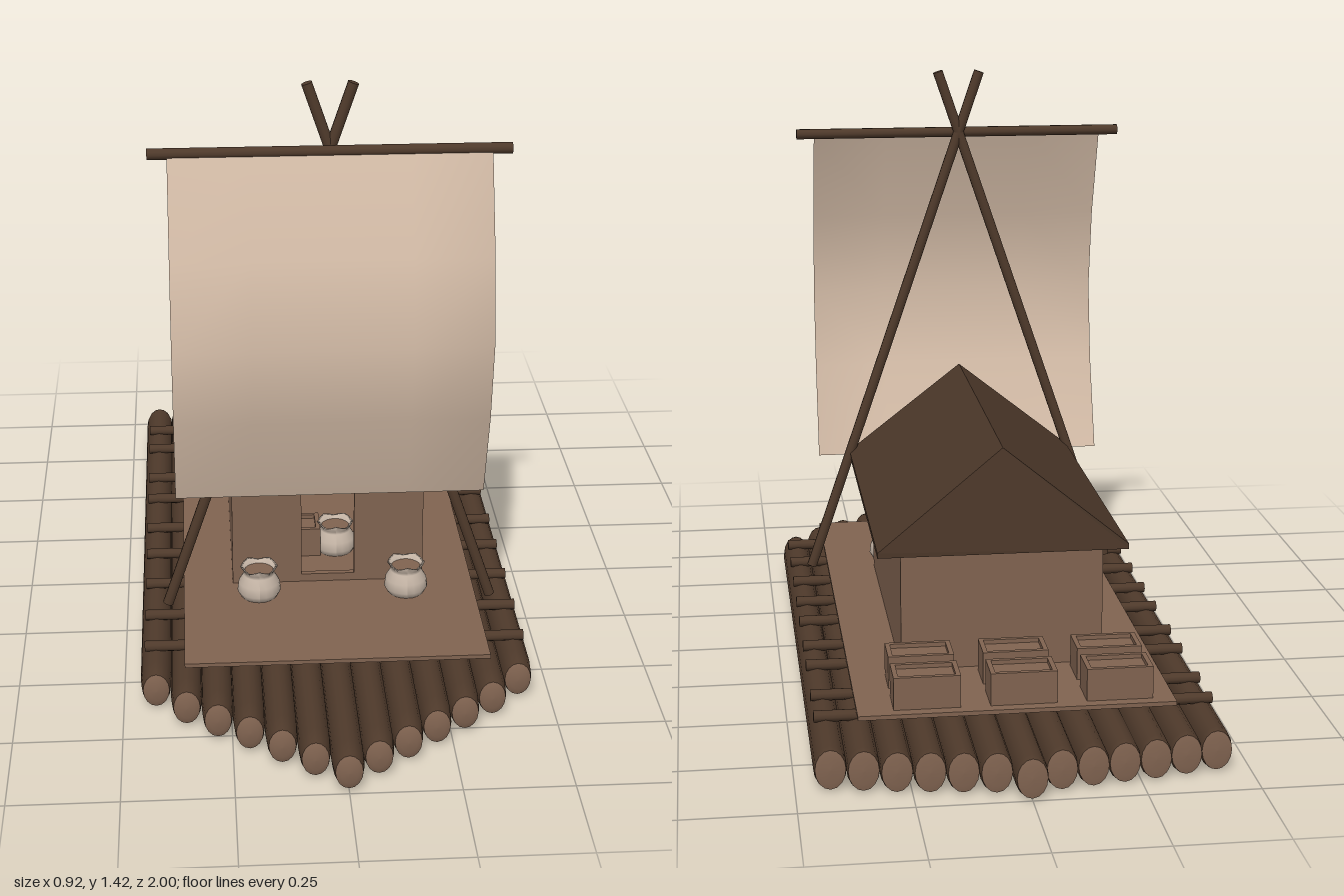
import * as THREE from 'three';

const mat = (name, color, side = THREE.FrontSide) => {
  const m = new THREE.MeshStandardMaterial({ color, side });
  m.name = name;
  return m;
};

export function createModel() {
  const raft = new THREE.Group();
  raft.name = 'sailingRaft';
  const darkWood = mat('darkWood', 0x4f3a2b);
  const thatch = mat('roofBrown', 0x4b3729);
  const plank = mat('plankBrown', 0x806350);
  const canvas = mat('sailCanvas', 0xd6bea9, THREE.DoubleSide);
  const sackCloth = mat('sackCloth', 0xc4b4a5, THREE.DoubleSide);

  const add = (name, geo, material, parent = raft) => {
    const m = new THREE.Mesh(geo, material);
    m.name = name;
    parent.add(m);
    return m;
  };
  const box = (name, w, h, d, x, y, z, material, parent) => {
    const m = add(name, new THREE.BoxGeometry(w, h, d), material, parent);
    m.position.set(x, y, z);
    return m;
  };
  // round pole between two points
  const pole = (name, a, b, r) => {
    const from = new THREE.Vector3(...a), to = new THREE.Vector3(...b);
    const dir = to.clone().sub(from);
    const m = add(name, new THREE.CylinderGeometry(r, r, dir.length(), 10), darkWood);
    m.position.copy(from).add(to).multiplyScalar(0.5);
    m.quaternion.setFromUnitVectors(new THREE.Vector3(0, 1, 0), dir.normalize());
    return m;
  };
  const lathe = (pts, n) => new THREE.LatheGeometry(pts.map(p => new THREE.Vector2(...p)), n);

  // hull logs: pointed bow, nearly straight stern, oval section
  const bow = [0.998, 0.942, 0.885, 0.825, 0.77, 0.71, 0.63];
  const stern = [-1, -0.96, -0.95, -0.94, -0.93, -0.915, -0.9];
  for (let i = -6; i <= 6; i++) {
    const f = bow[Math.abs(i)], b = stern[Math.abs(i)];
    const log = new THREE.Group();
    log.name = 'hullLog';
    const body = lathe([[0.92, b + 0.004], [1, b + 0.02], [1, f - 0.06], [0.93, f - 0.025], [0.84, f - 0.008]], 16);
    const bowCap = lathe([[0.84, f - 0.008], [0.5, f - 0.001], [0, f]], 16);
    const sternCap = lathe([[0, b], [0.6, b + 0.001], [0.92, b + 0.004]], 16);
    for (const g of [body, bowCap, sternCap]) {
      g.rotateX(Math.PI / 2);
      g.scale(0.0365, 0.049, 1);
    }
    add('logBark', body, darkWood, log);
    add('logBowEnd', bowCap, plank, log);
    add('logSternEnd', sternCap, plank, log);
    log.position.set(i * 0.0706, 0.05, 0);
    raft.add(log);
  }

  // cross beams and deck
  for (const z of [-0.725, -0.6, -0.41, -0.28, -0.106, 0.04, 0.2, 0.36, 0.51])
    pole('crossBeam', [-0.45, 0.104, z], [0.45, 0.104, z], 0.013);
  box('deck', 0.712, 0.01, 1.425, 0, 0.12, -0.0775, plank);

  // cabin: hollow walls, doorway in the front one
  const cabin = new THREE.Group();
  cabin.name = 'cabin';
  raft.add(cabin);
  const t = 0.015, h = 0.286, cy = 0.124 + h / 2;
  for (const s of [-1, 1]) box('sideWall', t, h, 0.77, s * (0.235 - t / 2), cy, -0.135, plank, cabin);
  box('rearWall', 0.44, h, t, 0, cy, -0.52 + t / 2, plank, cabin);
  const wall = new THREE.Shape();
  wall.moveTo(-0.22, 0.124).lineTo(0.22, 0.124).lineTo(0.22, 0.41).lineTo(-0.22, 0.41).closePath();
  const door = new THREE.Path();
  door.moveTo(-0.065, 0.145).lineTo(-0.065, 0.365).quadraticCurveTo(-0.065, 0.375, -0.055, 0.375);
  door.lineTo(0.055, 0.375).quadraticCurveTo(0.065, 0.375, 0.065, 0.365).lineTo(0.065, 0.145).closePath();
  wall.holes.push(door);
  add('frontWall', new THREE.ExtrudeGeometry(wall, { depth: t, bevelEnabled: false }), plank, cabin)
    .position.z = 0.25 - t;

  // gable roof, ends leaning inwards towards the ridge
  const gable = new THREE.Shape();
  gable.moveTo(-0.29, 0.406).lineTo(0.29, 0.406).lineTo(0.29, 0.418).lineTo(0, 0.65).lineTo(-0.29, 0.418).closePath();
  const roof = new THREE.ExtrudeGeometry(gable, { depth: 0.88, bevelEnabled: false });
  roof.translate(0, 0, -0.55);
  const rp = roof.attributes.position;
  for (let i = 0; i < rp.count; i++)
    if (rp.getY(i) > 0.6) rp.setZ(i, rp.getZ(i) < 0 ? -0.525 : 0.31);
  roof.computeVertexNormals();
  add('roof', roof, thatch, cabin);

  // crossed masts and yard
  for (const s of [-1, 1])
    pole('mastPole', [s * 0.395, 0.11, 0.312], [-s * 0.053, 1.416, 0.312], 0.013);
  pole('yard', [-0.415, 1.26, 0.325], [0.415, 1.26, 0.325], 0.013);

  // wind-filled sail
  const sailProfile = [[0.335, 1.255], [0.42, 1.03], [0.457, 0.825], [0.42, 0.63], [0.338, 0.405]];
  const sail = new THREE.PlaneGeometry(0.74, 1, 4, sailProfile.length - 1);
  const sp = sail.attributes.position;
  for (let i = 0; i < sp.count; i++) {
    const [z, y] = sailProfile[Math.floor(i / 5)];
    sp.setXYZ(i, sp.getX(i), y, z);
  }
  sail.computeVertexNormals();
  // soften the side edges
  const sn = sail.attributes.normal, v = new THREE.Vector3();
  for (let i = 0; i < sn.count; i++) {
    v.fromBufferAttribute(sn, i);
    if (Math.abs(sp.getX(i)) > 0.3) v.x += Math.sign(sp.getX(i)) * 0.35;
    v.normalize();
    sn.setXYZ(i, v.x, v.y, v.z);
  }
  add('sail', sail, canvas);

  // crates with raised rim
  const crate = (x, z) => {
    const g = new THREE.Group();
    g.name = 'crate';
    const w = 0.15, d = 0.092, r = 0.011;
    box('crateBody', w - 2 * r, 0.066, d - 2 * r, 0, 0.033, 0, plank, g);
    for (const s of [-1, 1]) {
      box('crateLongSide', w, 0.076, r, 0, 0.038, s * (d - r) / 2, plank, g);
      box('crateShortSide', r, 0.076, d - 2 * r, s * (w - r) / 2, 0.038, 0, plank, g);
    }
    g.position.set(x, 0.124, z);
    raft.add(g);
  };
  for (const x of [-0.232, -0.016, 0.2]) for (const z of [-0.718, -0.587]) crate(x, z);
  crate(-0.085, 0.07);

  // open sacks with gathered rims
  const sack = (x, z) => {
    const g = new THREE.Group();
    g.name = 'sack';
    const cloth = lathe([[0, 0], [0.044, 0], [0.053, 0.016], [0.05, 0.038], [0.038, 0.058], [0.036, 0.064],
      [0.046, 0.078], [0.04, 0.077], [0.033, 0.066]], 20);
    const p = cloth.attributes.position;
    for (let i = 0; i < p.count; i++)
      if (p.getY(i) > 0.07) p.setY(i, p.getY(i) + 0.004 * Math.sin(5 * Math.atan2(p.getZ(i), p.getX(i))));
    cloth.computeVertexNormals();
    add('sackCloth', cloth, sackCloth, g);
    add('sackFilling', new THREE.CylinderGeometry(0.035, 0.035, 0.004, 16), plank, g).position.y = 0.066;
    g.position.set(x, 0.125, z);
    raft.add(g);
  };
  sack(-0.172, 0.31);
  sack(0.188, 0.31);
  sack(0.03, 0.08);

  return raft;
}
